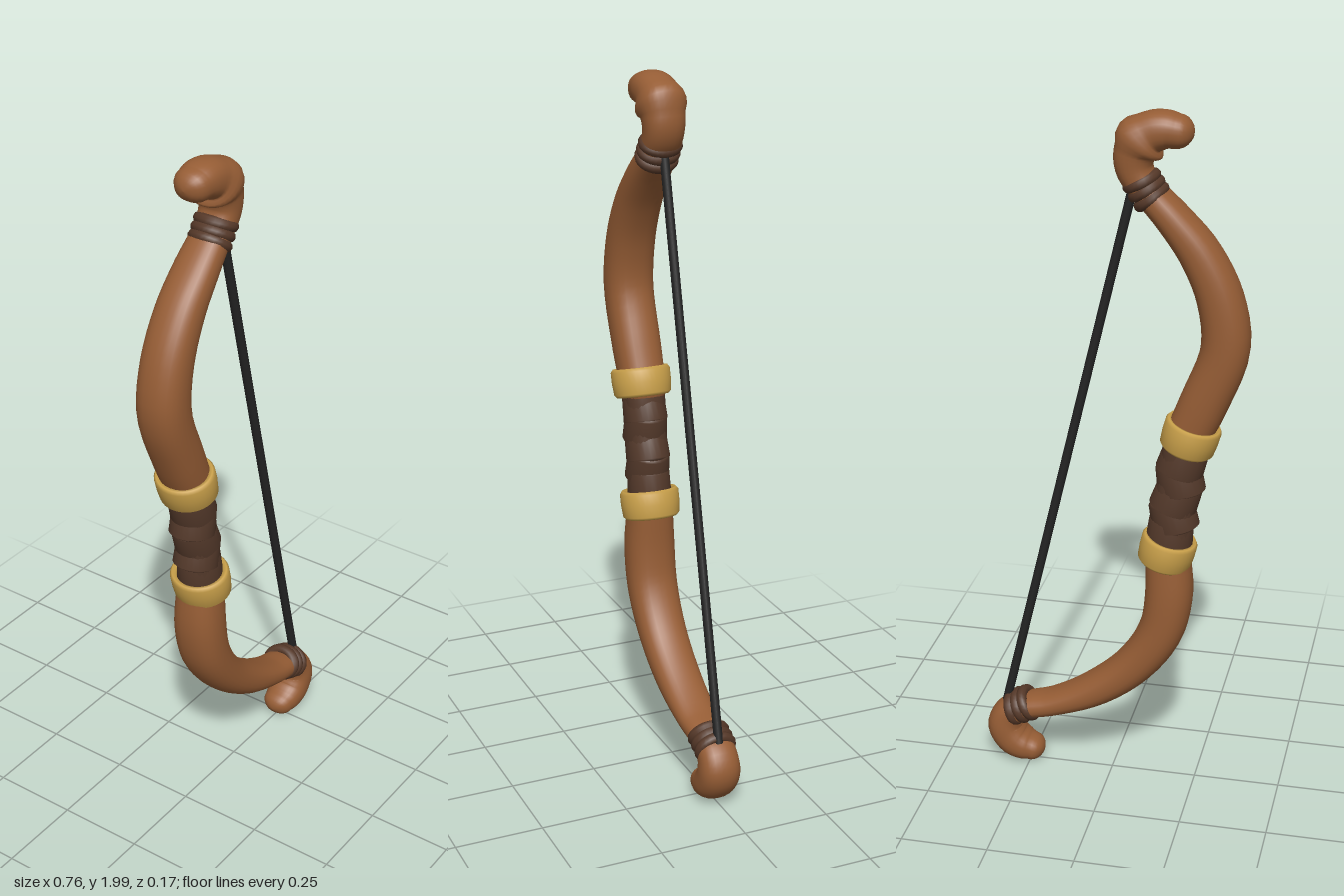
import * as THREE from 'three';

const mat = (name, color, side = THREE.FrontSide) => {
  const m = new THREE.MeshStandardMaterial({ color, side });
  m.name = name;
  return m;
};

// Sweep an oval section along a path in the xy plane.
// Each station is [x, y, half width, half depth]; both ends close with a dome.
function sweep(stations, steps = 48, sides = 28) {
  const path = new THREE.CatmullRomCurve3(stations.map(s => new THREE.Vector3(s[0], s[1], 0)));
  const size = new THREE.CatmullRomCurve3(stations.map(s => new THREE.Vector3(s[2], s[3], 0)));
  const rings = [];
  const addRing = (u, angle, sign) => {
    const p = path.getPoint(u), t = path.getTangent(u), r = size.getPoint(u);
    p.addScaledVector(t, sign * r.x * Math.sin(angle));
    const k = Math.max(Math.cos(angle), 0.001);
    rings.push({ p, t, w: r.x * k, d: r.y * k });
  };
  const dome = 6;
  for (let i = dome; i > 0; i--) addRing(0, (i / dome) * Math.PI / 2, -1);
  for (let i = 0; i <= steps; i++) addRing(i / steps, 0, 0);
  for (let i = 1; i <= dome; i++) addRing(1, (i / dome) * Math.PI / 2, 1);

  const soft = v => Math.sign(v) * Math.pow(Math.abs(v), 0.88); // slightly squared oval
  const pos = [], index = [];
  rings.forEach(({ p, t, w, d }, i) => {
    for (let j = 0; j < sides; j++) {
      const a = (j / sides) * Math.PI * 2, c = soft(Math.cos(a)) * w;
      pos.push(p.x + t.y * c, p.y - t.x * c, soft(Math.sin(a)) * d);
      if (i === rings.length - 1) continue;
      const k = (j + 1) % sides, A = i * sides + j, B = i * sides + k;
      index.push(A, A + sides, B, B, A + sides, B + sides);
    }
  });
  const g = new THREE.BufferGeometry();
  g.setAttribute('position', new THREE.Float32BufferAttribute(pos, 3));
  g.setIndex(index);
  g.computeVertexNormals();
  return g;
}

export function createModel() {
  const wood = mat('wood', 0x965d35);
  const gold = mat('gold', 0xc9a04a);
  const leather = mat('grip leather', 0x553a2b, THREE.DoubleSide);
  const cord = mat('binding cord', 0x553828);
  const stringMat = mat('bowstring', 0x242424);
  const bow = new THREE.Group();
  bow.name = 'bow';
  const add = (name, geo, material, parent = bow) => {
    const m = new THREE.Mesh(geo, material);
    m.name = name;
    parent.add(m);
    return m;
  };

  // Limbs, each ending in a curled tip
  add('upperLimb', sweep([
    [-0.205, 1.08, 0.062, 0.064], [-0.257, 1.2, 0.067, 0.069], [-0.312, 1.36, 0.067, 0.07],
    [-0.294, 1.5, 0.063, 0.069], [-0.237, 1.62, 0.056, 0.066], [-0.165, 1.71, 0.047, 0.062],
    [-0.095, 1.785, 0.042, 0.055], [-0.06, 1.84, 0.05, 0.056], [-0.062, 1.89, 0.056, 0.06],
    [-0.098, 1.935, 0.056, 0.06], [-0.14, 1.947, 0.051, 0.058], [-0.172, 1.944, 0.045, 0.052],
  ]), wood);
  add('lowerLimb', sweep([
    [-0.16, 0.75, 0.062, 0.064], [-0.166, 0.6, 0.068, 0.073], [-0.143, 0.483, 0.065, 0.073],
    [-0.068, 0.366, 0.058, 0.07], [0.048, 0.27, 0.05, 0.066], [0.18, 0.207, 0.037, 0.06],
    [0.265, 0.183, 0.036, 0.055], [0.312, 0.155, 0.048, 0.056], [0.326, 0.112, 0.054, 0.06],
    [0.303, 0.07, 0.052, 0.06], [0.27, 0.05, 0.045, 0.056], [0.246, 0.043, 0.038, 0.048],
  ]), wood);

  // Grip core and its crossing leather wraps
  const grip = new THREE.Group();
  grip.name = 'grip';
  bow.add(grip);
  add('gripCore', sweep([
    [-0.205, 1.07, 0.06, 0.06], [-0.185, 0.92, 0.06, 0.058], [-0.163, 0.76, 0.06, 0.06],
  ], 12), leather, grip);
  const wrap = new THREE.LatheGeometry([
    [0.058, -0.045], [0.068, -0.038], [0.064, 0.038], [0.058, 0.044],
  ].map(p => new THREE.Vector2(...p)), 24);
  const tilts = [0.1, -0.2, 0.32, -0.15, 0.3];
  tilts.forEach((tilt, i) => {
    const f = i / (tilts.length - 1);
    const w = add('gripWrap', wrap, leather, grip);
    w.position.set(-0.167 - 0.034 * f, 0.8 + 0.225 * f, 0);
    w.rotation.z = tilt;
    w.scale.z = 0.94;
  });

  // Gold collars at both ends of the grip
  const collar = new THREE.LatheGeometry([
    [0.058, -0.037], [0.07, -0.042], [0.077, -0.034], [0.08, 0], [0.08, 0.032],
    [0.074, 0.041], [0.064, 0.039], [0.06, 0.028], [0.058, -0.037],
  ].map(p => new THREE.Vector2(...p)), 36);
  [['upperCollar', -0.22, 1.097, 0.28], ['lowerCollar', -0.159, 0.744, 0.24]].forEach(([name, x, y, tilt]) => {
    const c = add(name, collar, gold);
    c.position.set(x, y, 0);
    c.rotation.z = tilt;
    c.scale.z = 1.08;
  });

  // Cord bindings: three turns round each limb just below its tip
  const turn = new THREE.TorusGeometry(0.041, 0.016, 10, 28).rotateX(Math.PI / 2);
  [['upperBinding', -0.092, 1.787, -0.56], ['lowerBinding', 0.278, 0.181, -2.0]].forEach(([name, x, y, tilt]) => {
    const b = new THREE.Group();
    b.name = name;
    b.position.set(x, y, 0);
    b.rotation.z = tilt;
    bow.add(b);
    for (let i = -1; i <= 1; i++) {
      const t = add('cordTurn', turn, cord, b);
      t.position.y = i * 0.025;
      t.rotation.z = i * 0.1;
      t.scale.set(0.96, 1, 1.1);
    }
  });

  // Bowstring
  const a = new THREE.Vector3(-0.052, 1.775, 0), z = new THREE.Vector3(0.323, 0.195, 0);
  add('bowstring', new THREE.TubeGeometry(new THREE.LineCurve3(a, z), 1, 0.013, 10), stringMat);

  return bow;
}
